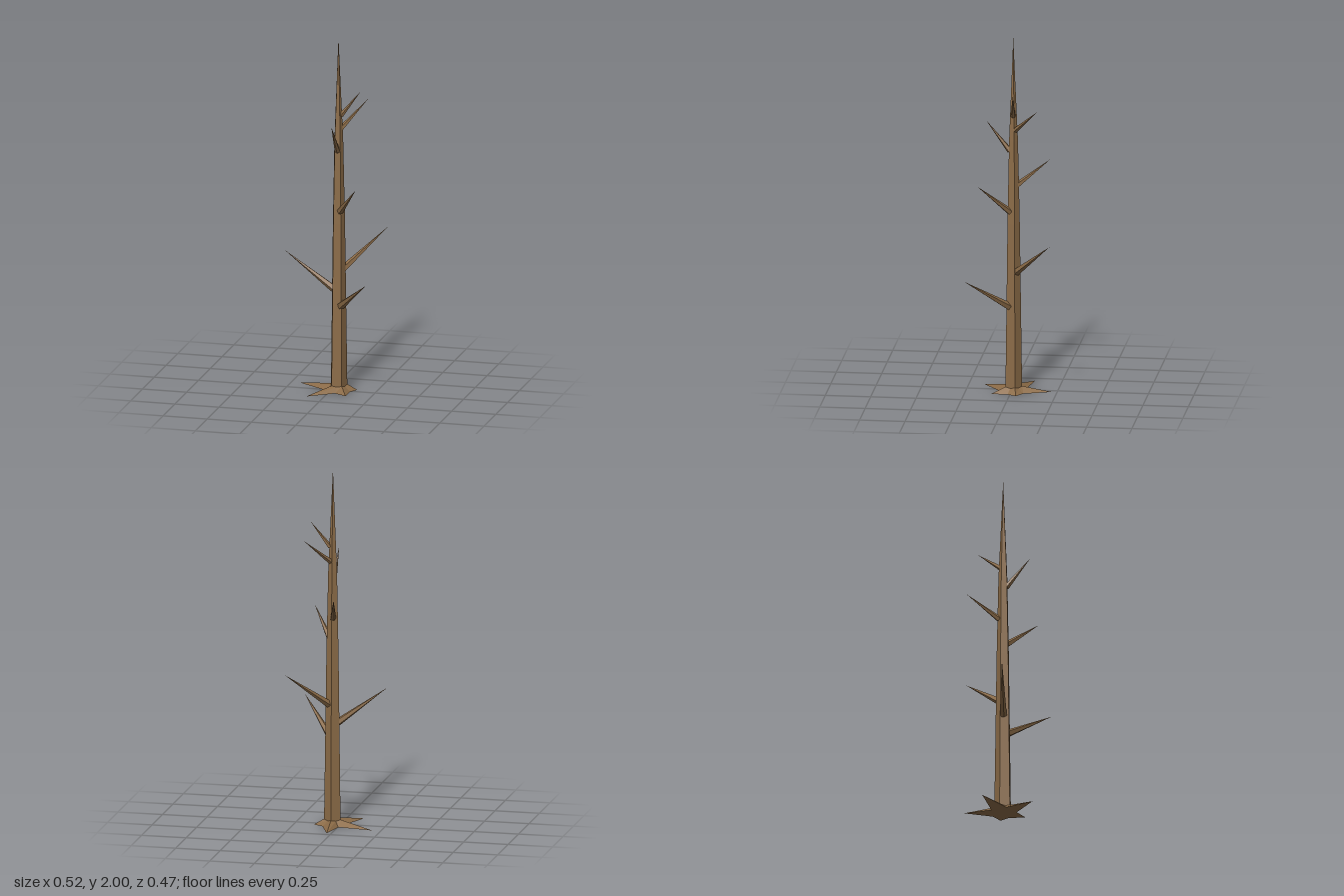
import * as THREE from 'three';

const CX = 0.04, CZ = -0.01; // trunk axis

export function createModel() {
  const group = new THREE.Group();
  const bark = new THREE.MeshStandardMaterial({ color: 0x8b6b47, flatShading: true });
  const add = (name, geometry) => {
    const mesh = new THREE.Mesh(geometry, bark);
    mesh.name = name;
    group.add(mesh);
    return mesh;
  };

  // Five-sided trunk tapering to a point
  const profile = [[0.049, 0], [0.036, 0.95], [0.026, 1.42], [0, 2]].map(p => new THREE.Vector2(...p));
  add('trunk', new THREE.LatheGeometry(profile, 5, Math.PI)).position.set(CX, 0, CZ);

  // Bare branches: base height, base radius, tip position
  const branches = [
    [0.485, 0.022, 0.258, 0.67, 0.235],
    [0.68, 0.021, 0.258, 0.88, -0.235],
    [0.575, 0.021, -0.26, 0.78, 0.012],
    [1.02, 0.019, 0.185, 1.19, 0.17],
    [1.165, 0.017, -0.01, 1.305, -0.207],
    [1.36, 0.016, 0.04, 1.53, 0.14],
    [1.48, 0.015, 0.167, 1.62, -0.16],
    [1.56, 0.014, 0.163, 1.70, -0.022],
  ];
  for (const [y, r, tx, ty, tz] of branches) {
    const tip = new THREE.Vector3(tx, ty, tz);
    const out = new THREE.Vector3(tx - CX, 0, tz - CZ).normalize();
    const base = new THREE.Vector3(CX, y, CZ).addScaledVector(out, 0.034 - 0.012 * y);
    const dir = tip.clone().sub(base);
    const length = dir.length();
    const cone = new THREE.ConeGeometry(r, length, 5).translate(0, length / 2, 0);
    const branch = add('branch', cone);
    branch.position.copy(base);
    branch.quaternion.setFromUnitVectors(new THREE.Vector3(0, 1, 0), dir.normalize());
  }

  // Star-shaped root flare: a pointed root at each trunk corner, with valleys between
  const tips = [[0.14, -0.035], [0.11, 0.105], [-0.095, 0.165], [-0.203, -0.102], [0.026, -0.222]];
  const low = [], high = [];
  tips.forEach(([x, z], i) => {
    const a = (-18 + 72 * i) * Math.PI / 180, m = a + Math.PI / 5;
    low.push([x, 0, z], [CX + 0.075 * Math.cos(m), 0, CZ + 0.075 * Math.sin(m)]);
    high.push([CX + 0.05 * Math.cos(a), 0.032, CZ + 0.05 * Math.sin(a)],
      [CX + 0.04 * Math.cos(m), 0.026, CZ + 0.04 * Math.sin(m)]);
  });
  const pos = [], mid = [CX, 0, CZ];
  for (let i = 0; i < 10; i++) {
    const j = (i + 1) % 10;
    pos.push(low[i], high[i], low[j], high[i], high[j], low[j], mid, low[i], low[j]);
  }
  const roots = new THREE.BufferGeometry();
  roots.setAttribute('position', new THREE.Float32BufferAttribute(pos.flat(), 3));
  roots.computeVertexNormals();
  add('roots', roots);

  return group;
}
